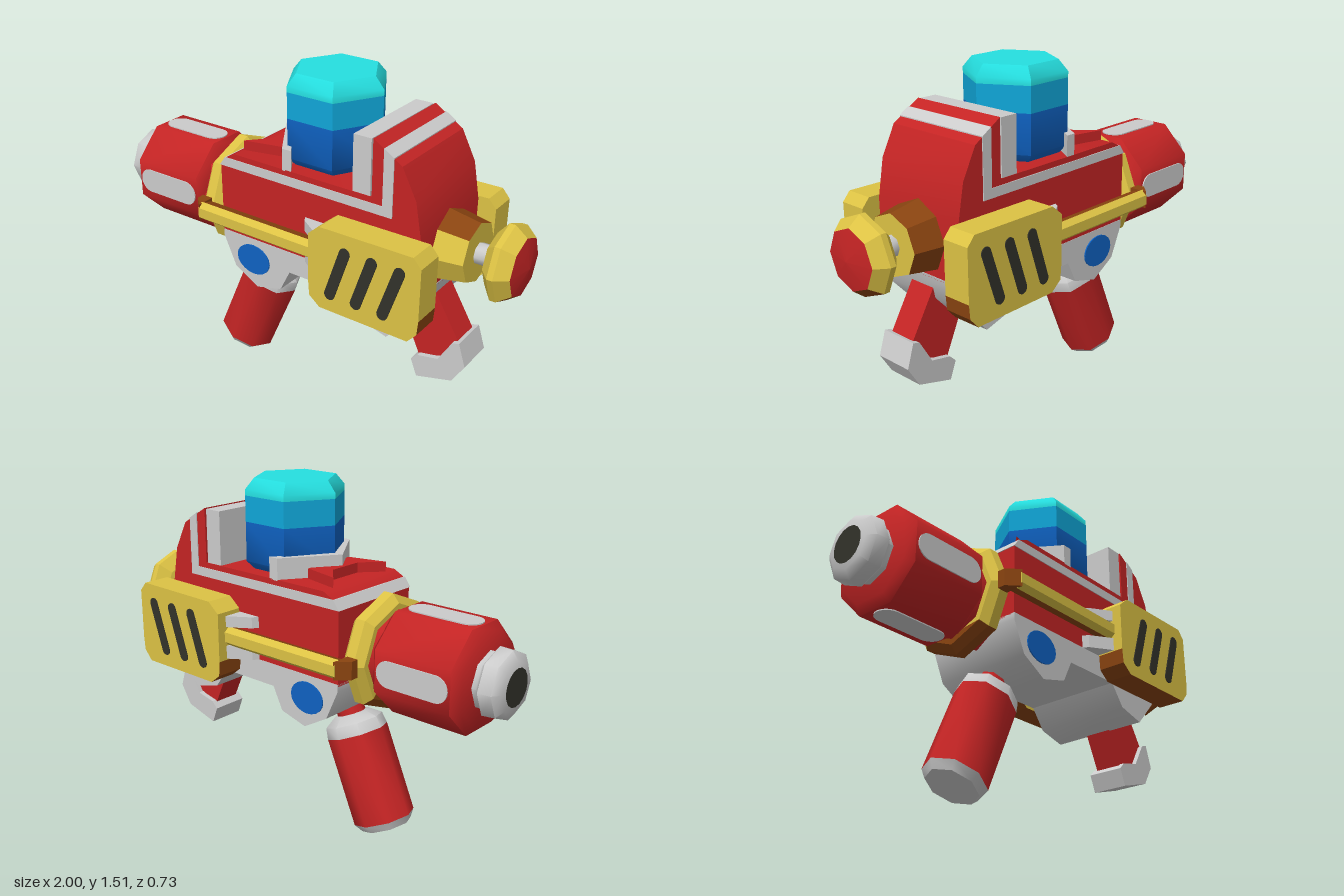
import * as THREE from 'three';
import { toCreasedNormals } from 'three/addons/utils/BufferGeometryUtils.js';

const mat = (name, color, side = THREE.FrontSide) => {
  const m = new THREE.MeshStandardMaterial({ color, side });
  m.name = name;
  return m;
};

export function createModel() {
  const red = mat('red', 0xc42424), white = mat('lightGrey', 0xcbcbcb);
  const gold = mat('gold', 0xdcc244), brown = mat('brown', 0x8a4410);
  const cyan = mat('cyan', 0x25dfe0), sky = mat('skyBlue', 0x10a6d8), blue = mat('blue', 0x0f62c2);
  const black = mat('charcoal', 0x32322a);

  const model = new THREE.Group();
  model.name = 'toyBlaster';
  const add = (name, geo, material, parent = model) => {
    const mesh = new THREE.Mesh(geo, material);
    mesh.name = name;
    parent.add(mesh);
    return mesh;
  };
  const group = (name) => {
    const g = new THREE.Group();
    g.name = name;
    model.add(g);
    return g;
  };

  // Prisms: outline in x,y centred on z; outline in z,y along x; outline in x,z along y
  const extrude = (pts, depth) => new THREE.ExtrudeGeometry(
    new THREE.Shape(pts.map(([a, b]) => new THREE.Vector2(a, b))), { depth, bevelEnabled: false });
  const prismZ = (pts, width, z = 0) => extrude(pts, width).translate(0, 0, z - width / 2);
  const prismX = (pts, x0, x1) => extrude(pts.map(([z, y]) => [-z, y]), x1 - x0).rotateY(Math.PI / 2).translate(x0, 0, 0);
  const prismY = (pts, y0, y1) => extrude(pts.map(([x, z]) => [x, -z]), y1 - y0).rotateX(-Math.PI / 2).translate(0, y0, 0);

  // Faceted turned parts: profile of [radius, height]
  const turn = (pts, sides, crease = 0.3, start = 0) => toCreasedNormals(
    new THREE.LatheGeometry(pts.map(([r, h]) => new THREE.Vector2(r, h)), sides, start), crease);
  // Same along x: profile of [x, radius] at height y
  const turnX = (pts, y, sides = 8, crease = 0.3, start = 0) =>
    turn(pts.map(([x, r]) => [r, x]), sides, crease, start).rotateZ(-Math.PI / 2).translate(0, y, 0);

  // Gives the second material to each triangle whose centre and normal pass the rule
  const twoTone = (geo, rule) => {
    const g = geo.index ? geo.toNonIndexed() : geo;
    const p = g.attributes.position;
    const tri = new THREE.Triangle(), c = new THREE.Vector3(), n = new THREE.Vector3();
    g.clearGroups();
    for (let i = 0; i < p.count; i += 3) {
      tri.setFromAttributeAndIndices(p, i, i + 1, i + 2);
      tri.getMidpoint(c);
      tri.getNormal(n);
      g.addGroup(i, 3, rule(c, n) ? 1 : 0);
    }
    return g;
  };

  // Thin pill-shaped plate lying along x
  const pill = (length, r, depth) => {
    const h = length / 2 - r, s = new THREE.Shape();
    s.absarc(h, 0, r, -Math.PI / 2, Math.PI / 2);
    s.absarc(-h, 0, r, Math.PI / 2, Math.PI * 1.5);
    return new THREE.ExtrudeGeometry(s, { depth, bevelEnabled: false, curveSegments: 6 });
  };

  // Barrel, muzzle and collar ring
  const axisY = 0.85, flat = 1 / Math.cos(Math.PI / 8);
  const barrel = group('barrelAssembly');
  add('barrel', turnX([[-0.88, 0], [-0.88, 0.18], [-0.85, 0.213], [-0.5, 0.213], [-0.47, 0.18], [-0.47, 0]]
    .map(([x, r]) => [x, r * flat]), axisY, 8, 0.8, Math.PI / 8), red, barrel);
  for (let k = 0; k < 4; k++) {
    add('barrelPanel', pill(0.33, 0.055, 0.008).translate(0, 0, 0.21).rotateX(k * Math.PI / 2)
      .translate(-0.675, axisY, 0), white, barrel);
  }
  add('muzzle', turnX([[-1, 0], [-1, 0.105], [-0.975, 0.14], [-0.92, 0.145], [-0.9, 0.12], [-0.87, 0.12]], axisY, 8, 0.9),
    white, barrel);
  add('muzzleHole', new THREE.CircleGeometry(0.078, 16).rotateY(-Math.PI / 2).translate(-1.002, axisY, 0), black, barrel);
  add('barrelNeck', turnX([[-0.48, 0.19], [-0.3, 0.19]], axisY, 8, 0.8), red, barrel);
  add('collarRing', twoTone(turnX([[-0.45, 0.17], [-0.45, 0.215], [-0.42, 0.25], [-0.375, 0.25], [-0.345, 0.215], [-0.345, 0.17]], axisY),
    (c) => c.y < 0.7), [gold, brown], barrel);

  // Main body with raised rear, trim stripe and underside
  const body = group('body');
  add('upperBody', toCreasedNormals(prismZ([[-0.33, 0.74], [0.655, 0.74], [0.655, 1], [0.625, 1.16], [0.56, 1.285], [0.43, 1.365],
    [0.43, 1.125], [-0.25, 1.125], [-0.3, 1.1], [-0.33, 1.06]], 0.46), 0.5), red, body);
  add('trimStripe', prismZ([[-0.334, 1.06], [0.525, 1.06], [0.525, 1.311], [0.48, 1.339], [0.48, 1.1], [-0.305, 1.1]], 0.467), white, body);
  add('rearPanel', prismZ([[0.34, 1.12], [0.422, 1.12], [0.422, 1.362], [0.34, 1.362]], 0.456), white, body);
  add('underside', toCreasedNormals(prismZ([[-0.33, 0.75], [-0.33, 0.72], [-0.27, 0.585], [-0.15, 0.515], [-0.02, 0.55], [0.03, 0.65],
    [0.32, 0.65], [0.39, 0.555], [0.52, 0.52], [0.635, 0.645], [0.657, 0.75]], 0.463), 0.8), white, body);
  for (const s of [1, -1]) {
    add('sideButton', new THREE.CylinderGeometry(1, 1, 0.008, 20).rotateX(Math.PI / 2).scale(0.088, 0.07, 1)
      .translate(-0.165, 0.65, s * 0.233), blue, body);
  }

  // Water tank, hexagonal with a corner facing the muzzle, in three colour bands
  const tank = group('tank');
  tank.position.x = 0.108;
  const hex = (name, pts, m) => add(name, turn(pts, 6, 0.8, Math.PI / 2), m, tank);
  hex('tankLower', [[0, 1.12], [0.18, 1.12], [0.22, 1.16], [0.22, 1.33]], blue);
  hex('tankMiddle', [[0.22, 1.33], [0.22, 1.44]], sky);
  hex('tankTop', [[0.22, 1.44], [0.22, 1.465], [0.18, 1.512], [0, 1.512]], cyan);

  // Chevron guard and pronged plate in front of the tank
  add('tankGuard', prismY([[0.045, -0.23], [0, -0.23], [-0.155, 0], [0, 0.23], [0.045, 0.23], [-0.11, 0]], 1.12, 1.215), white);
  add('prongPlate', prismY([[-0.25, -0.17], [-0.08, -0.13], [-0.08, 0.13], [-0.25, 0.17], [-0.17, 0.08], [-0.17, -0.08]], 1.12, 1.168), red);

  // Side pods with vents, rods and brackets
  for (const s of [1, -1]) {
    const side = group(s > 0 ? 'frontSidePod' : 'backSidePod');
    const podOutline = [[0.28, 0.64], [0.69, 0.64], [0.73, 0.685], [0.735, 0.745], [0.735, 0.97], [0.7, 1.01],
      [0.28, 1.005], [0.225, 0.96], [0.225, 0.745], [0.23, 0.68]];
    add('pod', twoTone(prismZ(podOutline, 0.125, s * 0.2985), (c, n) => Math.abs(n.z) < 0.5 && c.y < 0.745), [gold, brown], side);
    for (let i = 0; i < 3; i++) {
      add('ventSlot', pill(0.265, 0.024, 0.008).rotateZ(1.25).translate(0.365 + i * 0.123, 0.822, s * 0.361 - 0.004), black, side);
    }
    add('rodOuter', prismX([[0.3, 0.892], [0.325, 0.872], [0.325, 0.828], [0.3, 0.808]].map(([z, y]) => [s * z, y]), -0.39, 0.25), gold, side);
    add('rodInner', prismX([[0.3, 0.891], [0.3, 0.809], [0.24, 0.83], [0.24, 0.87]].map(([z, y]) => [s * z, y]), -0.39, 0.25), brown, side);
    add('rodEnd', prismY([[-0.385, 0.325], [-0.437, 0.275], [-0.437, 0.24], [-0.385, 0.24]].map(([x, z]) => [x, s * z]), 0.812, 0.888), brown, side);
    for (const [y0, y1] of [[0.75, 0.808], [0.893, 0.942]]) {
      add('podBracket', prismY([[0.11, 0.225], [0.13, 0.255], [0.23, 0.32], [0.23, 0.225]].map(([x, z]) => [x, s * z]), y0, y1), white, side);
    }
  }

  // Handle, leaning back toward the muzzle
  const grip = group('grip');
  grip.position.set(-0.42, 0.05, 0);
  grip.rotation.z = -0.41;
  const handle = (name, pts, m) => add(name, turn(pts, 8, 0.9).scale(1, 1, 0.91), m, grip);
  handle('gripBase', [[0, 0], [0.115, 0], [0.14, 0.035]], white);
  handle('gripBody', [[0.14, 0.035], [0.14, 0.43]], red);
  handle('gripCap', [[0.14, 0.43], [0.132, 0.48], [0.08, 0.515], [0, 0.515]], white);
  handle('gripNeck', [[0.065, 0.5], [0.065, 0.63]], red);

  // Rear stock
  add('stockLeg', prismZ([[0.44, 0.68], [0.585, 0.365], [0.75, 0.42], [0.76, 0.5], [0.64, 0.7]], 0.126), red);
  add('stockFoot', prismZ([[0.56, 0.345], [0.59, 0.268], [0.755, 0.315], [0.81, 0.405], [0.777, 0.508], [0.745, 0.498],
    [0.685, 0.395], [0.59, 0.375]], 0.172), white);

  // Rear plunger
  const plunger = group('plunger'), py = 0.895;
  add('plungerSocket', twoTone(turnX([[0.64, 0.155], [0.785, 0.13], [0.785, 0]], py),
    (c, n) => Math.abs(n.x) < 0.9 && n.y * 0.8 - n.z * 0.6 > 0.1), [gold, brown], plunger);
  add('plungerRod', turnX([[0.77, 0.045], [0.86, 0.045]], py, 8, 0.8), white, plunger);
  add('plungerKnob', twoTone(turnX([[0.84, 0], [0.84, 0.06], [0.855, 0.11], [0.9, 0.165], [0.925, 0.165], [0.977, 0.125]], py),
    (c) => c.y < 0.79), [gold, brown], plunger);
  add('plungerFace', turnX([[0.977, 0.125], [1, 0]], py), red, plunger);

  return model;
}
